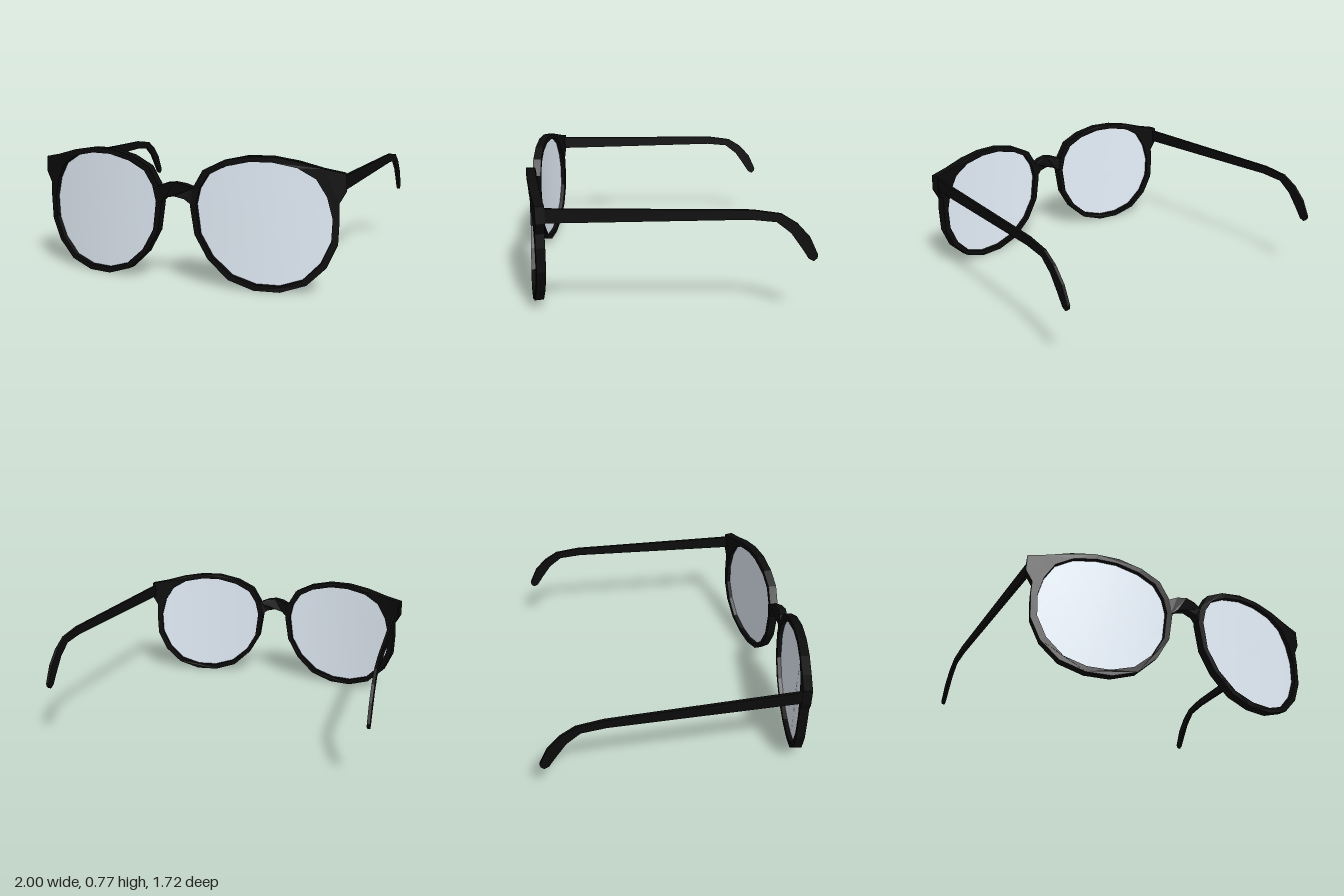
import * as THREE from 'three';

const frameMat = new THREE.MeshStandardMaterial({ color: 0x0b0b0b, flatShading: true });
const lensMat = new THREE.MeshStandardMaterial({ color: 0xe8f2fd, side: THREE.DoubleSide });
const THICK = 0.054;

// Outlines of one eye on the +x side
const rimOuter = [
  [0.935, 0.44], [0.93, 0.294], [0.872, 0.16], [0.765, 0.053], [0.62, 0.003], [0.47, 0.003],
  [0.32, 0.053], [0.198, 0.166], [0.118, 0.305], [0.091, 0.476], [0.112, 0.583], [0.171, 0.684],
  [0.289, 0.743], [0.433, 0.775], [0.578, 0.775], [0.717, 0.752], [0.85, 0.715],
  [0.964, 0.692], [0.968, 0.594], [0.93, 0.524],
];
const rimInner = [
  [0.898, 0.44], [0.893, 0.305], [0.84, 0.182], [0.743, 0.08], [0.615, 0.037], [0.481, 0.037],
  [0.342, 0.08], [0.225, 0.182], [0.15, 0.31], [0.128, 0.481], [0.15, 0.575], [0.203, 0.658],
  [0.305, 0.711], [0.444, 0.743], [0.572, 0.743], [0.706, 0.717], [0.807, 0.658], [0.866, 0.561],
];
// Upper and lower edge of the bridge, from one rim to the other
const bridgeOutline = [
  [-0.114, 0.575], [-0.06, 0.597], [0, 0.606], [0.06, 0.597], [0.114, 0.575],
  [0.103, 0.475], [0.06, 0.511], [0, 0.525], [-0.06, 0.511], [-0.103, 0.475],
];
// Side profile of a temple arm as [z, y]
const templeProfile = [
  [0.69, 0.675], [-0.48, 0.66], [-0.64, 0.637], [-0.733, 0.58], [-0.807, 0.5], [-0.857, 0.395],
  [-0.854, 0.375], [-0.835, 0.358], [-0.806, 0.372], [-0.76, 0.44], [-0.697, 0.526], [-0.614, 0.59],
  [-0.467, 0.605], [0.69, 0.592],
];

const toPoints = (list, sx = 1) => list.map(([x, y]) => new THREE.Vector2(x * sx, y));
const faceCurve = (x) => 0.812 - 0.135 * x * x;

// Wraps a flat part around the curve of the face; bump pushes the middle forward
function bend(geo, bump = 0) {
  const p = geo.attributes.position;
  for (let i = 0; i < p.count; i++) {
    const x = p.getX(i), d = p.getZ(i);
    const n = new THREE.Vector2(0.27 * x, 1).normalize();
    const push = bump * Math.max(0, 1 - (x / 0.1) ** 2);
    p.setX(i, x + n.x * d);
    p.setZ(i, faceCurve(x) + push + n.y * d);
  }
  geo.computeVertexNormals();
  return geo;
}

function extrude(shape, depth) {
  return new THREE.ExtrudeGeometry(shape, { depth, bevelEnabled: false }).translate(0, 0, -depth / 2);
}

// The hole runs against the outline so that its walls face inwards
function rimGeometry(s) {
  const shape = new THREE.Shape(toPoints(rimOuter, s));
  shape.holes.push(new THREE.Path(toPoints(rimInner, s).reverse()));
  return bend(extrude(shape, THICK));
}

// Concentric loops of the inner rim outline, set a little into the rim and bent into a curved lens
function lensGeometry(s) {
  const rings = 5, n = rimInner.length, cx = 0.52, cy = 0.395;
  const pos = [], idx = [];
  for (let r = 0; r <= rings; r++) {
    const k = 1.015 * r / rings;
    for (const [x, y] of rimInner) {
      pos.push(s * (cx + (x - cx) * k), cy + (y - cy) * k, 0);
    }
  }
  for (let r = 0; r < rings; r++) {
    for (let i = 0; i < n; i++) {
      const j = (i + 1) % n;
      const a = r * n + i, b = r * n + j, c = a + n, d = b + n;
      // the outline runs clockwise on the +x side
      const tris = r === 0 ? [[a, d, c]] : [[a, d, c], [a, b, d]];
      for (const [u, v, w] of tris) idx.push(u, ...(s > 0 ? [v, w] : [w, v]));
    }
  }
  const geo = new THREE.BufferGeometry();
  geo.setAttribute('position', new THREE.Float32BufferAttribute(pos, 3));
  geo.setIndex(idx);
  return bend(geo);
}

// Arm extruded across x, splaying slightly outwards towards the ear
function templeGeometry(s) {
  const geo = extrude(new THREE.Shape(toPoints(templeProfile, -1)), 0.018).rotateY(Math.PI / 2);
  const p = geo.attributes.position;
  for (let i = 0; i < p.count; i++) {
    p.setX(i, p.getX(i) + s * (0.945 + (0.68 - p.getZ(i)) * 0.03));
  }
  geo.computeVertexNormals();
  return geo;
}

export function createModel() {
  const model = new THREE.Group();
  model.name = 'eyeglasses';
  const add = (name, geo, mat) => {
    const mesh = new THREE.Mesh(geo, mat);
    mesh.name = name;
    model.add(mesh);
  };
  for (const [side, s] of [['left', 1], ['right', -1]]) {
    add(side + 'Rim', rimGeometry(s), frameMat);
    add(side + 'Lens', lensGeometry(s), lensMat);
    add(side + 'Temple', templeGeometry(s), frameMat);
  }
  add('bridge', bend(extrude(new THREE.Shape(toPoints(bridgeOutline)), 0.05), 0.022), frameMat);
  return model;
}
